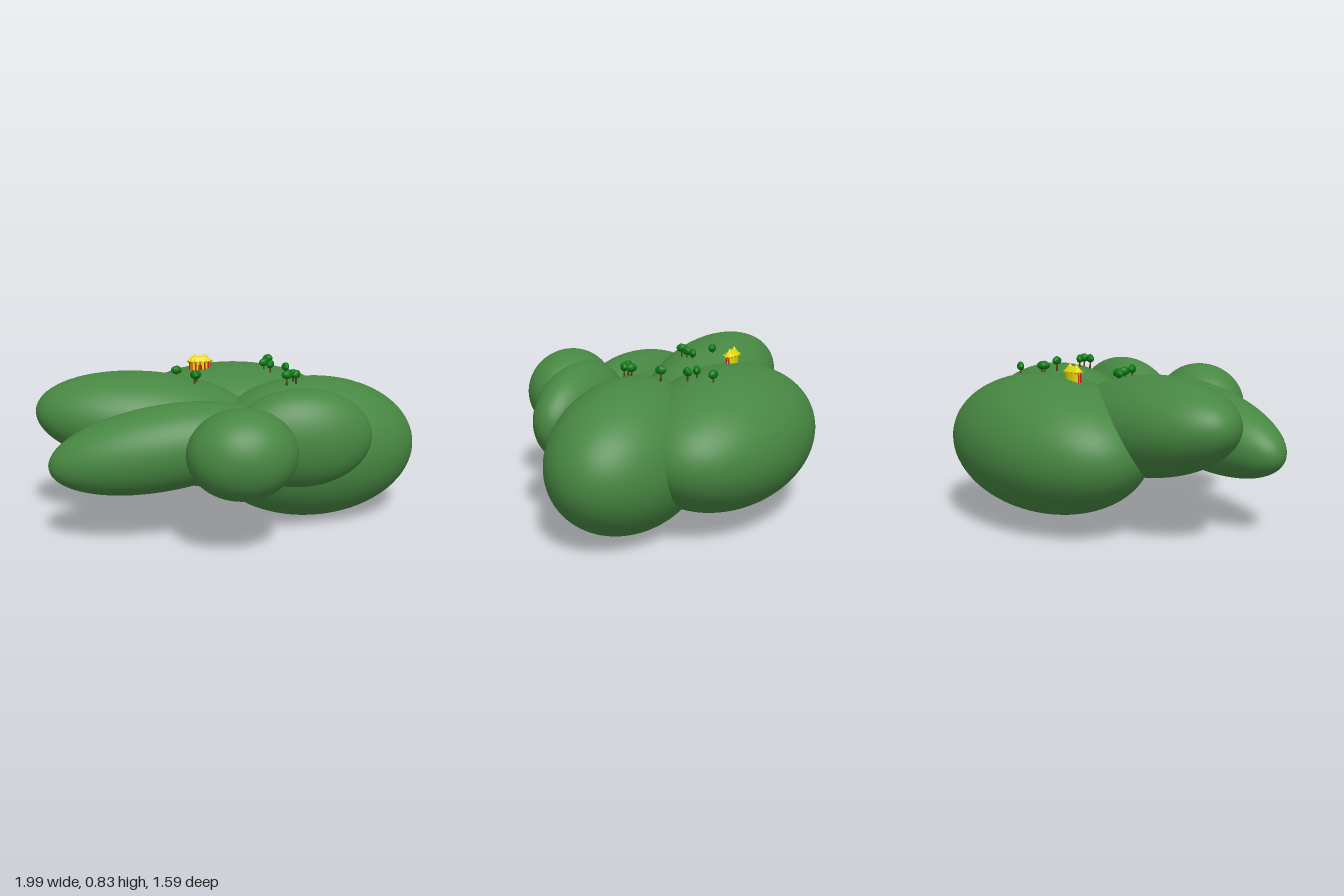
import * as THREE from 'three';

const paint = (name, color, flat = false) => {
  const m = new THREE.MeshStandardMaterial({ color, flatShading: flat });
  m.name = name;
  return m;
};

export function createModel() {
  const grass = paint('grass green', 0x478742);
  const leaf = paint('leaf green', 0x08780f, true);
  const bark = paint('bark brown', 0x5a3a1c, true);
  const yellow = paint('canvas yellow', 0xf2e20c, true);
  const red = paint('stripe red', 0xd01a1a, true);

  const model = new THREE.Group();
  const add = (parent, name, geo, mat, x = 0, y = 0, z = 0) => {
    const mesh = new THREE.Mesh(geo, mat);
    mesh.name = name;
    mesh.position.set(x, y, z);
    parent.add(mesh);
    return mesh;
  };

  // Rolling hills: overlapping ellipsoids [name, centre, radii, turn about y, tilt about z]
  const ball = new THREE.SphereGeometry(1, 64, 40);
  const hills = [
    ['frontHill', [-0.025, 0.53, 0.575], [0.265, 0.22, 0.215], 0, 0],
    ['frontLeftwardHill', [0.31, 0.52, 0.308], [0.36, 0.25, 0.175], 0, 0],
    ['frontRightwardHill', [-0.375, 0.493, 0.293], [0.565, 0.212, 0.212], 0, 0.146],
    ['rightHill', [-0.4, 0.535, -0.09], [0.604, 0.25, 0.297], 0, -0.13],
    ['leftHill', [0.43, 0.378, -0.035], [0.565, 0.372, 0.367], 0.06, 0],
    ['backHill', [0.045, 0.416, -0.375], [0.655, 0.347, 0.42], 0, 0],
  ];
  for (const [name, c, r, turn, tilt] of hills) {
    const hill = add(model, name, ball, grass, ...c);
    hill.scale.set(...r);
    hill.rotation.set(0, turn, tilt);
  }

  // Trees: trunk with a flattened faceted crown [x, crown height, z]
  const crown = new THREE.IcosahedronGeometry(1, 1);
  const trunk = new THREE.CylinderGeometry(0.004, 0.006, 0.05, 6);
  const spots = [
    [-0.265, 0.782, -0.16], [-0.165, 0.768, -0.09], [-0.17, 0.775, -0.055],
    [-0.185, 0.785, -0.018], [0.265, 0.78, -0.4], [0.225, 0.78, -0.295],
    [0.255, 0.775, -0.26], [0.315, 0.785, -0.145], [0.325, 0.782, 0.01],
    [0.285, 0.785, 0.05], [0.335, 0.785, 0.045],
  ];
  spots.forEach(([x, y, z], i) => {
    const tree = new THREE.Group();
    tree.name = 'tree';
    tree.position.set(x, y, z);
    add(tree, 'trunk', trunk, bark, 0, -0.03, 0);
    const top = add(tree, 'crown', crown, leaf);
    top.scale.set(0.029, 0.022, 0.019);
    top.rotation.y = i * 0.7;
    const tuft = add(tree, 'crownTop', crown, leaf, 0.003, 0.01, 0.002);
    tuft.scale.set(0.016, 0.014, 0.014);
    model.add(tree);
  });

  // Oval show tent
  const tent = new THREE.Group();
  tent.name = 'tent';
  tent.position.set(-0.122, 0.738, -0.332);
  model.add(tent);
  const oval = (a, rx, rz) => [rx * Math.sin(a), rz * Math.cos(a)];
  const wall = add(tent, 'tentWall', new THREE.CylinderGeometry(1, 1, 0.055, 14), yellow, 0, 0.0275, 0);
  wall.scale.set(0.056, 1, 0.027);

  // Roof: oval eaves drawn in to a ridge, with two peaks
  const roof = new THREE.CylinderGeometry(1, 1, 0.024, 14);
  const p = roof.attributes.position;
  for (let i = 0; i < p.count; i++) {
    const high = p.getY(i) > 0;
    p.setX(i, p.getX(i) * (high ? 0.045 : 0.066));
    p.setZ(i, p.getZ(i) * (high ? 0.012 : 0.034));
  }
  roof.computeVertexNormals();
  add(tent, 'tentRoof', roof, yellow, 0, 0.065, 0);
  for (const x of [-0.028, 0.028]) {
    const peak = add(tent, 'roofPeak', new THREE.ConeGeometry(0.022, 0.03, 8), yellow, x, 0.079, 0);
    peak.scale.z = 0.8;
  }

  // Red wall stripes along the front and ends, and scallops under the eaves
  for (let i = 0; i < 14; i++) {
    const a = (i / 14) * Math.PI * 2;
    const [ex, ez] = oval(a, 0.064, 0.032);
    const flap = add(tent, 'eaveScallop', new THREE.ConeGeometry(0.009, 0.014, 4), yellow, ex, 0.049, ez);
    flap.rotation.x = Math.PI;
    if (Math.cos(a) < -0.3) continue;
    const [sx, sz] = oval(a, 0.056, 0.027);
    const stripe = add(tent, 'wallStripe', new THREE.BoxGeometry(0.007, 0.05, 0.004), red, sx, 0.026, sz);
    stripe.rotation.y = Math.atan2(Math.sin(a) / 0.056, Math.cos(a) / 0.027);
  }
  add(tent, 'tentDoor', new THREE.BoxGeometry(0.018, 0.034, 0.006), red, 0, 0.019, 0.028);

  return model;
}
